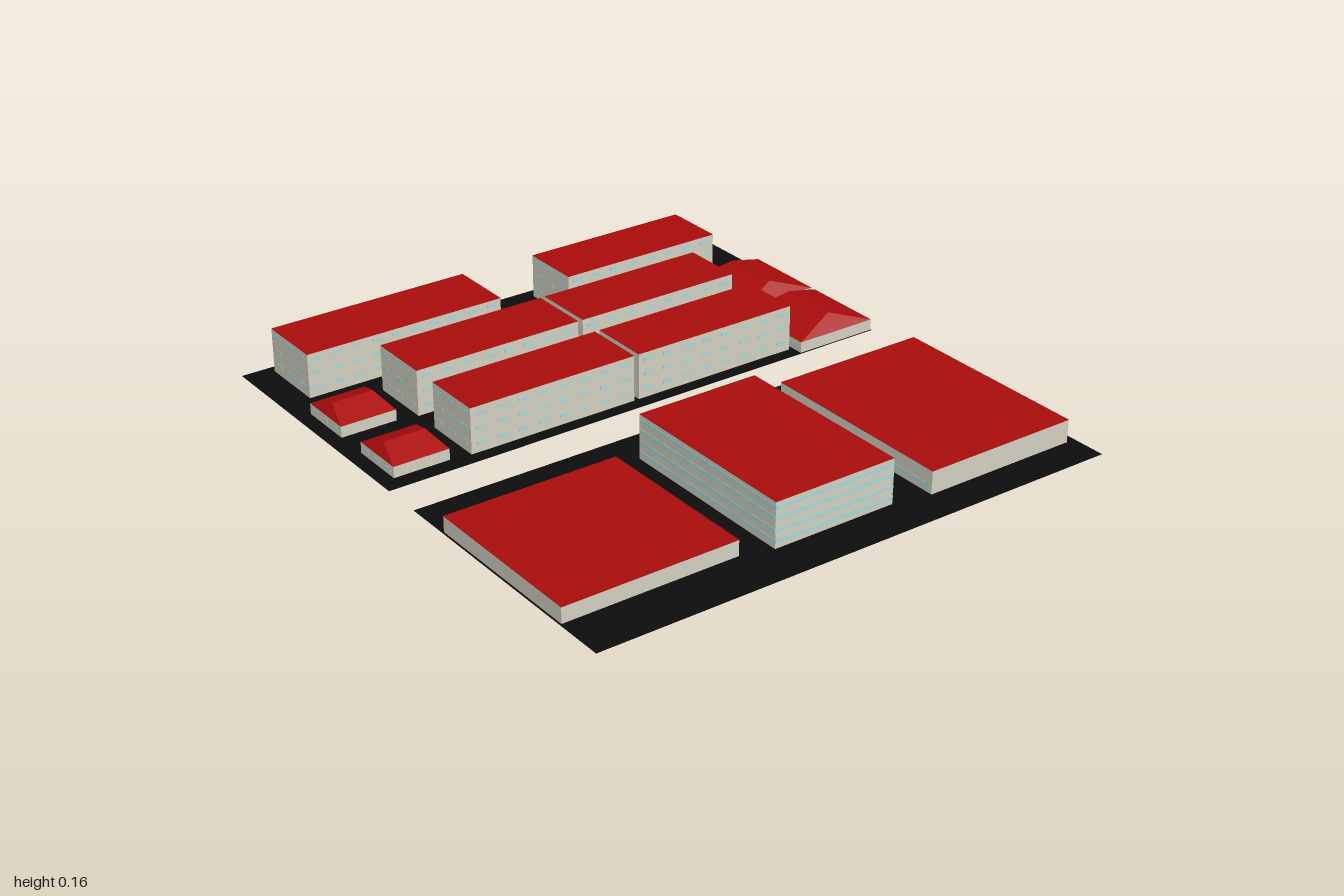
import * as THREE from 'three';
import { ConvexGeometry } from 'three/addons/geometries/ConvexGeometry.js';

const paint = (color, extra = {}) => new THREE.MeshStandardMaterial({ color, ...extra });

export function createModel() {
  const model = new THREE.Group();
  model.name = 'buildingBlock';
  const wall = paint(0xd0cfc0);
  const glass = paint(0xabd6d6);
  const red = paint(0xaa0c0c, { flatShading: true });
  const black = paint(0x0c0c0c, { side: THREE.DoubleSide });

  // Box between two corners
  function box(parent, name, mat, x0, x1, y0, y1, z0, z1) {
    const mesh = new THREE.Mesh(new THREE.BoxGeometry(x1 - x0, y1 - y0, z1 - z0), mat);
    mesh.position.set((x0 + x1) / 2, (y0 + y1) / 2, (z0 + z1) / 2);
    mesh.name = name;
    parent.add(mesh);
    return mesh;
  }

  // Evenly spaced panes along one span; one pane makes a continuous band
  function panes(from, to, spacing, fill) {
    const count = Math.max(1, Math.round((to - from) / spacing));
    const step = (to - from) / count;
    return Array.from({ length: count }, (_, i) => {
      const mid = from + (i + 0.5) * step;
      return [mid - step * fill / 2, mid + step * fill / 2];
    });
  }

  // Window strips that lie just proud of the walls
  function windows(parent, [x0, x1, z0, z1], { rows, size, spacing, fill, faces }) {
    const e = 0.001;
    for (const y of rows) {
      const y0 = y - size / 2, y1 = y + size / 2;
      if (faces.includes('z')) for (const [a, b] of panes(x0, x1, spacing, fill)) {
        box(parent, 'window', glass, a, b, y0, y1, z1 - e, z1 + e);
        box(parent, 'window', glass, a, b, y0, y1, z0 - e, z0 + e);
      }
      if (faces.includes('x')) for (const [a, b] of panes(z0, z1, spacing, fill)) {
        box(parent, 'window', glass, x1 - e, x1 + e, y0, y1, a, b);
        box(parent, 'window', glass, x0 - e, x0 + e, y0, y1, a, b);
      }
    }
  }

  // Flat-roofed building
  function flatBuilding(name, plan, h, glazing) {
    const [x0, x1, z0, z1] = plan;
    const g = new THREE.Group();
    g.name = name;
    box(g, 'walls', wall, x0, x1, 0.002, h - 0.001, z0, z1);
    box(g, 'flatRoof', red, x0, x1, h - 0.001, h, z0, z1);
    if (glazing) windows(g, plan, glazing);
    model.add(g);
  }

  // House with a hipped roof; rx or rz is half the length of the ridge
  function hipHouse(name, plan, eave, top, rx, rz) {
    const [x0, x1, z0, z1] = plan;
    const cx = (x0 + x1) / 2, cz = (z0 + z1) / 2;
    const g = new THREE.Group();
    g.name = name;
    box(g, 'walls', wall, x0, x1, 0.002, eave, z0, z1);
    const points = [];
    for (const x of [x0, x1]) for (const z of [z0, z1]) points.push(new THREE.Vector3(x, eave, z));
    for (const s of [-1, 1]) points.push(new THREE.Vector3(cx + s * rx, top, cz + s * rz));
    const roof = new THREE.Mesh(new ConvexGeometry(points), red);
    roof.name = 'hippedRoof';
    g.add(roof);
    windows(g, plan, { rows: [0.02], size: 0.012, spacing: 0.07, fill: 0.4, faces: 'x' });
    model.add(g);
  }

  // Two plots of ground with a street between them
  for (const s of [-1, 1]) {
    const plot = new THREE.Mesh(new THREE.PlaneGeometry(1.86, 0.93), black);
    plot.rotation.x = -Math.PI / 2;
    plot.position.z = s * 0.535;
    plot.name = s > 0 ? 'frontGround' : 'backGround';
    model.add(plot);
  }

  const bands = { rows: [0.025, 0.06, 0.1, 0.135], size: 0.013, spacing: 2, fill: 1, faces: 'xz' };
  const dashes = { rows: [0.035, 0.085, 0.135], size: 0.012, spacing: 0.075, fill: 0.45, faces: 'xz' };
  const lowBand = { rows: [0.025], size: 0.013, spacing: 2, fill: 1, faces: 'x' };

  // Front plot
  flatBuilding('lowHallRight', [-0.925, -0.325, 0.23, 0.83], 0.055);
  flatBuilding('centreHall', [-0.22, 0.215, 0.205, 0.86], 0.155, bands);
  flatBuilding('lowHallLeft', [0.345, 0.895, 0.175, 0.885], 0.08, lowBand);

  // Back plot: two rows of long blocks
  for (const [z0, z1] of [[-0.645, -0.425], [-0.33, -0.115]]) {
    flatBuilding('longBlock', [-0.615, -0.012, z0, z1], 0.16, dashes);
    flatBuilding('longBlock', [0.006, 0.612, z0, z1], 0.16, dashes);
  }
  flatBuilding('rearBlock', [-0.83, -0.112, -0.965, -0.73], 0.155, dashes);
  flatBuilding('rearBlock', [0.162, 0.767, -0.955, -0.737], 0.155, dashes);

  // Houses at both ends of the rows
  for (const z of [-0.537, -0.223])
    hipHouse('smallHouse', [-0.88, -0.685, z - 0.097, z + 0.097], 0.04, 0.075, 0.072, 0);
  for (const z of [-0.532, -0.22])
    hipHouse('largeHouse', [0.627, 0.925, z - 0.148, z + 0.148], 0.04, 0.09, 0, 0.103);

  return model;
}
